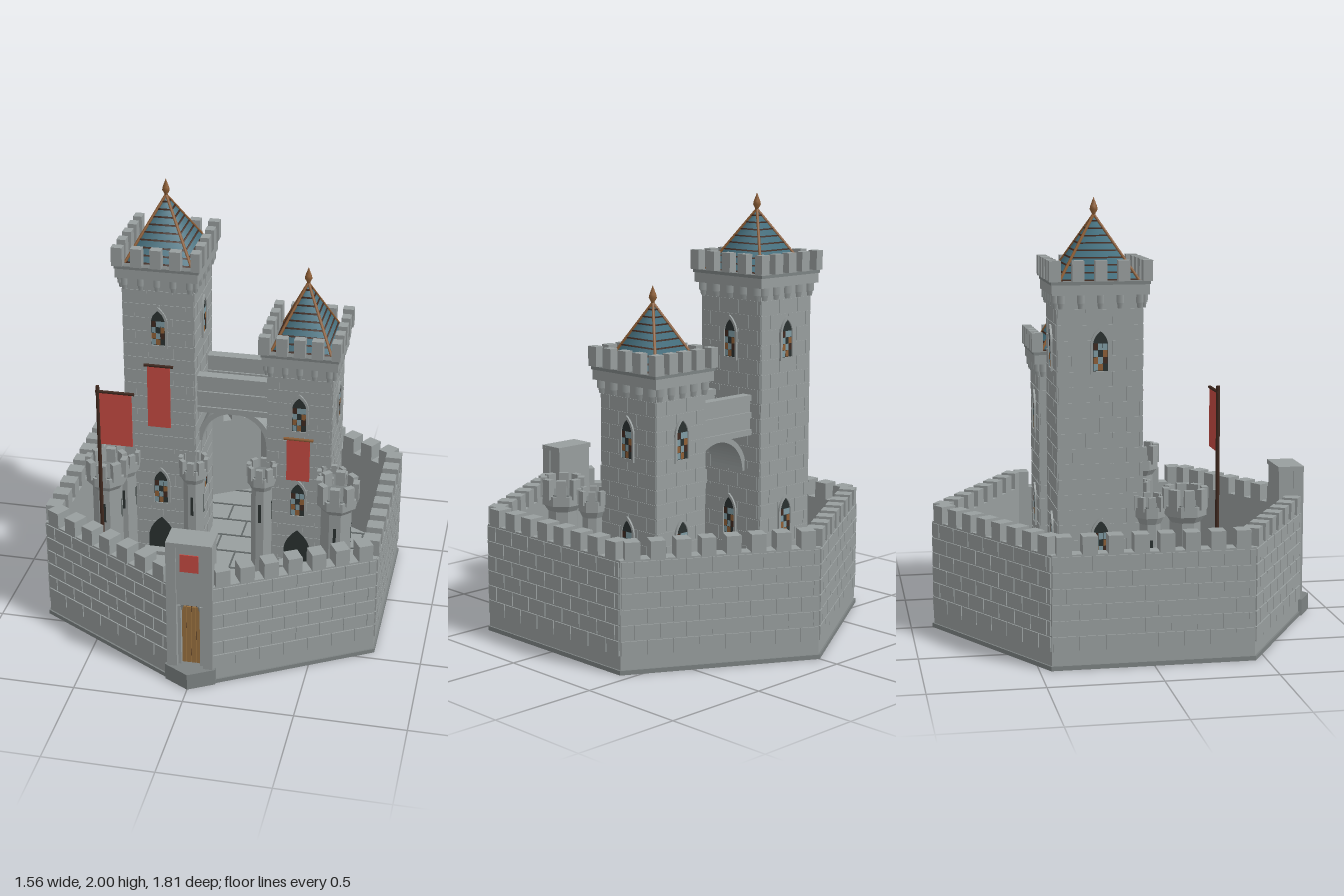
import * as THREE from 'three';
import { mergeGeometries } from 'three/addons/utils/BufferGeometryUtils.js';

const mat = (name, color) => Object.assign(new THREE.MeshStandardMaterial({ color }), { name });
const stone = mat('stone', 0x989e9e), darkStone = mat('dark stone', 0x7c8282);
const joint = mat('floor joint', 0x626868), slate = mat('dark opening', 0x2a3130);
const tile = mat('roof tile', 0x44707f), bronze = mat('bronze', 0x8f5f36);
const darkWood = mat('dark wood', 0x40291f), doorWood = mat('door wood', 0x98703f);
const red = mat('red cloth', 0xc54a42), glass = mat('pale glass', 0x7f9ba3);

function add(parent, name, geo, material, x = 0, y = 0, z = 0) {
  const m = new THREE.Mesh(geo, material);
  m.name = name;
  m.position.set(x, y, z);
  parent.add(m);
  return m;
}
function group(parent, name, x = 0, y = 0, z = 0, ry = 0) {
  const g = new THREE.Group();
  g.name = name;
  g.position.set(x, y, z);
  g.rotation.y = ry;
  parent.add(g);
  return g;
}
// Box given by its limits
const span = (x0, x1, y0, y1, z0, z1) =>
  new THREE.BoxGeometry(x1 - x0, y1 - y0, z1 - z0).translate((x0 + x1) / 2, (y0 + y1) / 2, (z0 + z1) / 2);
// Upright prism over a plan of [x, z] points
function prism(points, y0, y1) {
  const s = new THREE.Shape(points.map(([x, z]) => new THREE.Vector2(x, -z)));
  return new THREE.ExtrudeGeometry(s, { depth: y1 - y0, bevelEnabled: false }).rotateX(-Math.PI / 2).translate(0, y0, 0);
}
// Four-sided frustum with a rectangular plan
const frustum = (hx, hz, topScale, h) =>
  new THREE.CylinderGeometry(topScale * Math.SQRT2, Math.SQRT2, h, 4, 1).rotateY(Math.PI / 4).scale(hx, 1, hz).toNonIndexed();

// Running-bond bricks standing proud of a face that looks along +z
function bricks(width, y0, y1, rowH, len, relief) {
  const out = [], rows = Math.round((y1 - y0) / rowH), h = (y1 - y0) / rows;
  for (let r = 0; r < rows; r++) {
    for (let x = -width / 2 - (r % 2 ? len / 2 : 0); x < width / 2 - 0.005; x += len) {
      const a = Math.max(x, -width / 2), b = Math.min(x + len, width / 2);
      if (b - a > 0.015) out.push(span(a + 0.003, b - 0.003, y0 + r * h + 0.003, y0 + (r + 1) * h - 0.003, -0.004, relief));
    }
  }
  return mergeGeometries(out);
}
function onSides(parent, name, hx, hz, build) {
  for (let i = 0; i < 4; i++) {
    const a = i * Math.PI / 2, d = i % 2 ? hx : hz;
    build(group(parent, name, Math.sin(a) * d, 0, Math.cos(a) * d, a), i % 2 ? hz : hx, i);
  }
}
function archPath(P, w, h, y = 0) {
  const s = new P();
  s.moveTo(-w / 2, y);
  s.lineTo(w / 2, y);
  s.lineTo(w / 2, y + h - w * 0.85);
  s.quadraticCurveTo(w * 0.45, y + h - w * 0.35, 0, y + h);
  s.quadraticCurveTo(-w * 0.45, y + h - w * 0.35, -w / 2, y + h - w * 0.85);
  return s;
}
// Pointed window with a stone frame and chequered panes
function windowAt(parent, y) {
  const g = group(parent, 'window', 0, y, 0.003);
  const frame = archPath(THREE.Shape, 0.09, 0.205);
  frame.holes.push(archPath(THREE.Path, 0.066, 0.175, 0.013));
  add(g, 'windowFrame', new THREE.ExtrudeGeometry(frame, { depth: 0.009, bevelEnabled: false }), stone);
  add(g, 'windowBack', new THREE.ShapeGeometry(archPath(THREE.Shape, 0.07, 0.18, 0.01)), slate, 0, 0, 0.003);
  const panes = [glass, bronze, slate, bronze, glass, darkWood, glass, slate, bronze, darkWood, glass, glass];
  panes.forEach((m, i) => add(g, 'windowPane', new THREE.PlaneGeometry(0.02, 0.029), m,
    (i % 3 - 1) * 0.021, 0.03 + Math.floor(i / 3) * 0.03, 0.005));
}

function roof(parent, hx, hz, y0, y1) {
  const g = group(parent, 'roof', 0, y0, 0), n = 9, h = (y1 - y0) / n;
  for (let i = 0; i < n; i++) {
    const k = 1 - i / n, top = 1 - (i + 1) / n;
    add(g, 'tileCourse', frustum(hx * k, hz * k, Math.max(top / k, 0.01), h), tile, 0, (i + 0.5) * h, 0);
    add(g, 'courseEdge', frustum(hx * k + 0.003, hz * k + 0.003, 0.97, 0.006), darkWood, 0, i * h + 0.003, 0);
  }
  for (const sx of [-1, 1]) for (const sz of [-1, 1]) {
    const hip = new THREE.LineCurve3(new THREE.Vector3(sx * hx, 0, sz * hz), new THREE.Vector3(0, y1 - y0, 0));
    add(g, 'hipRidge', new THREE.TubeGeometry(hip, 1, 0.007, 5), bronze);
  }
  const profile = [[0, 0], [0.008, 0], [0.008, 0.012], [0.018, 0.03], [0.015, 0.045], [0, 0.085]];
  add(g, 'finial', new THREE.LatheGeometry(profile.map(p => new THREE.Vector2(...p)), 8), bronze, 0, y1 - y0 - 0.008, 0);
}

function tower(root, name, o) {
  const g = group(root, name, o.x, 0, -0.19), { hx, hz, top } = o;
  add(g, 'towerBody', span(-hx, hx, 0.07, top, -hz, hz), stone);
  add(g, 'towerCollar', span(-hx - 0.026, hx + 0.026, top, top + 0.045, -hz - 0.026, hz + 0.026), stone);
  add(g, 'towerDeck', span(-hx - 0.03, hx + 0.03, top + 0.045, top + 0.06, -hz - 0.03, hz + 0.03), darkStone);
  onSides(g, 'towerSide', hx, hz, (s, half, i) => {
    add(s, 'towerBricks', bricks(half * 2, 0.1, top - 0.06, 0.067, 0.12, 0.003), stone);
    windowAt(s, top - 0.345);
    windowAt(s, 0.4);
    // Corbels and battlements
    for (let k = 0; k < 5; k++) {
      const x = (k / 4 - 0.5) * (half * 2 - 0.03);
      add(s, 'corbel', frustum(0.014, 0.012, 1, 0.035), stone, x, top - 0.018, 0.01);
      add(s, 'corbelTip', frustum(0.009, 0.008, 1.4, 0.025), stone, x, top - 0.047, 0.006);
      if (k < 4) add(s, 'merlon', new THREE.BoxGeometry(0.052, 0.09, 0.042), stone,
        (k / 4 - 0.5) * (half * 2 + 0.026), top + 0.105, 0.017);
    }
  });
  roof(g, hx - 0.012, hz - 0.014, top + 0.06, o.apex);
  // Door, steps, corner turrets and hanging banner
  add(g, 'towerDoor', new THREE.ShapeGeometry(archPath(THREE.Shape, 0.13, 0.25, 0.08)), slate, 0, 0, hz + 0.006);
  for (let i = 0; i < 4; i++)
    add(g, 'doorStep', span(-0.085, 0.085, 0.07, 0.1 + i * 0.02, hz - 0.01, 0.375 - i * 0.045), stone);
  for (const s of [-1, 1]) turret(g, 'cornerTurret', s * 0.168, 0.22, 0.05, 0.6);
  add(g, 'bannerCloth', span(-0.055, 0.055, o.banner[0], o.banner[1], hz + 0.014, hz + 0.018), red);
  add(g, 'bannerRod', new THREE.CylinderGeometry(0.007, 0.007, 0.14, 6).rotateZ(Math.PI / 2),
    o.rod, 0, o.banner[1], hz + 0.016);
}

function turret(parent, name, x, z, r, y) {
  const g = group(parent, name, x, 0, z);
  const oct = (rad, h, y0, r2 = rad) =>
    new THREE.CylinderGeometry(rad, r2, h, 8).rotateY(Math.PI / 8).translate(0, y0 + h / 2, 0).toNonIndexed();
  const flat = geo => (geo.computeVertexNormals(), geo);
  add(g, 'turretBody', flat(oct(r, y - 0.07, 0.07)), stone);
  add(g, 'turretFlare', flat(oct(r * 1.28, 0.03, y - 0.03, r)), stone);
  add(g, 'turretCollar', flat(oct(r * 1.38, 0.045, y)), stone);
  add(g, 'turretDeck', flat(oct(r * 1.2, 0.006, y + 0.045)), darkStone);
  for (let i = 0; i < 8; i++) {
    const a = i * Math.PI / 4, m = group(g, 'turretSide', Math.sin(a) * r * 1.22, 0, Math.cos(a) * r * 1.22, a);
    add(m, 'turretMerlon', new THREE.BoxGeometry(r * 0.62, r * 1.3, r * 0.4), stone, 0, y + 0.03 + r * 0.65, 0);
    if (i % 2 === 0) add(m, 'arrowSlit', new THREE.PlaneGeometry(0.014, 0.1), slate, 0, y - 0.15, -r * 0.29 + 0.002);
  }
}

export function createModel() {
  const root = new THREE.Group();
  root.name = 'castle';

  // Hexagonal curtain wall, open at the gate
  const hex = R => [[0, -R], [0.866 * R, -R / 2], [0.866 * R, R / 2], [0, R], [-0.866 * R, R / 2], [-0.866 * R, -R / 2]];
  const ring = (R, x) => [[x, R - x / 1.732], ...[2, 1, 0, 5, 4].map(i => hex(R)[i]), [-x, R - x / 1.732]];
  add(root, 'curtainWall', prism([...ring(0.893, 0.085), ...ring(0.815, 0.085).reverse()], 0, 0.505), stone);
  add(root, 'wallFoot', prism([...ring(0.902, 0.085), ...ring(0.85, 0.085).reverse()], 0, 0.02), darkStone);
  add(root, 'courtyardFloor', prism([...ring(0.85, 0.085)], 0, 0.08), stone);
  for (let i = 0; i < 6; i++) {
    const a = Math.PI / 6 + i * Math.PI / 3, ap = 0.7735, front = i === 0 ? -1 : i === 5 ? 1 : 0;
    const side = group(root, 'wallSide', Math.sin(a) * ap, 0, Math.cos(a) * ap, a);
    const w = front ? 0.785 : 0.89;
    add(side, 'wallBricks', bricks(w, 0.08, 0.5, 0.07, 0.115, 0.006), stone, front ? -front * 0.052 : 0, 0, 0);
    for (let k = 0; k < 8; k++) {
      const x = (k - 3.5) * 0.112;
      if (front * x < 0.36) add(side, 'wallMerlon', new THREE.BoxGeometry(0.066, 0.08, 0.074), stone, x, 0.543, -0.031);
    }
  }

  // Paving joints
  const halfAt = z => Math.min(0.71, (0.82 - Math.abs(z)) * 1.732);
  for (let r = -5; r < 5; r++) {
    const z = r * 0.15, inner = Math.min(halfAt(z), halfAt(z + 0.15));
    add(root, 'pavingRow', new THREE.BoxGeometry(halfAt(z) * 2, 0.004, 0.01), joint, 0, 0.081, z);
    for (let x = -0.7 + (r % 2 ? 0.1 : 0); x < inner; x += 0.2)
      if (x > -inner) add(root, 'pavingJoint', new THREE.BoxGeometry(0.008, 0.004, 0.15), joint, x, 0.081, z + 0.075);
  }

  // Gatehouse with recessed door
  const gate = group(root, 'gatehouse');
  add(gate, 'gateBack', span(-0.098, 0.098, 0, 0.71, 0.73, 0.8), stone);
  for (const s of [-1, 1]) {
    add(gate, 'gatePillar', new THREE.BoxGeometry(0.045, 0.71, 0.05), stone, s * 0.082, 0.355, 0.823);
    add(gate, 'doorJamb', new THREE.BoxGeometry(0.014, 0.31, 0.03), stone, s * 0.05, 0.235, 0.815);
  }
  add(gate, 'gatePanel', span(-0.06, 0.06, 0.4, 0.71, 0.795, 0.838), stone);
  add(gate, 'gateCap', span(-0.104, 0.104, 0.7, 0.722, 0.725, 0.85), stone);
  add(gate, 'doorArch', new THREE.TorusGeometry(0.045, 0.008, 6, 12, Math.PI), darkStone, 0, 0.365, 0.82);
  for (let i = 0; i < 4; i++)
    add(gate, 'doorPlank', new THREE.BoxGeometry(0.019, 0.295, 0.012), doorWood, (i - 1.5) * 0.0215, 0.228, 0.806);
  add(gate, 'doorGap', new THREE.PlaneGeometry(0.1, 0.32), darkWood, 0, 0.24, 0.803);
  add(gate, 'gateBanner', span(-0.042, 0.042, 0.575, 0.662, 0.838, 0.843), red);
  add(gate, 'gateStep', prism([[0.115, 0.79], [0.115, 0.845], [0, 0.91], [-0.115, 0.845], [-0.115, 0.79]], 0, 0.078), darkStone);

  // Two keeps
  tower(root, 'tallTower', { x: -0.333, hx: 0.168, hz: 0.188, top: 1.585, apex: 1.923, banner: [0.83, 1.15], rod: darkWood });
  tower(root, 'shortTower', { x: 0.333, hx: 0.152, hz: 0.178, top: 1.2, apex: 1.545, banner: [0.61, 0.83], rod: bronze });
  for (const s of [-1, 1]) turret(root, 'yardTurret', s * 0.55, 0.18, 0.07, 0.615);

  // Bridge and arch between the keeps
  const bridge = group(root, 'bridge', 0.008, 0, -0.185);
  add(bridge, 'bridgeDeck', span(-0.18, 0.18, 0.905, 1.0, -0.125, 0.125), darkStone);
  for (const s of [-1, 1]) {
    add(bridge, 'bridgeParapet', new THREE.BoxGeometry(0.36, 0.15, 0.035), stone, 0, 0.985, s * 0.115);
    for (const y of [0.915, 0.995, 1.075])
      add(bridge, 'bridgeLedge', new THREE.BoxGeometry(0.36, 0.028, 0.052), stone, 0, y, s * 0.115);
  }
  const arc = new THREE.Shape();
  arc.absarc(0, 0, 0.18, 0, Math.PI, false);
  arc.absarc(0, 0, 0.155, Math.PI, 0, true);
  add(bridge, 'bridgeArch', new THREE.ExtrudeGeometry(arc, { depth: 0.2, bevelEnabled: false, curveSegments: 14 }), stone, 0, 0.728, -0.1);

  // Flagpole in the yard
  const flag = group(root, 'flagpole', -0.538, 0, 0.328);
  add(flag, 'pole', new THREE.CylinderGeometry(0.009, 0.009, 1.1, 8), darkWood, 0, 0.63, 0);
  add(flag, 'flagArm', new THREE.CylinderGeometry(0.007, 0.007, 0.18, 6).rotateZ(Math.PI / 2), darkWood, 0.08, 1.152, 0);
  add(flag, 'flagCloth', span(0.005, 0.158, 0.885, 1.148, -0.003, 0.003), red);
  return root;
}
